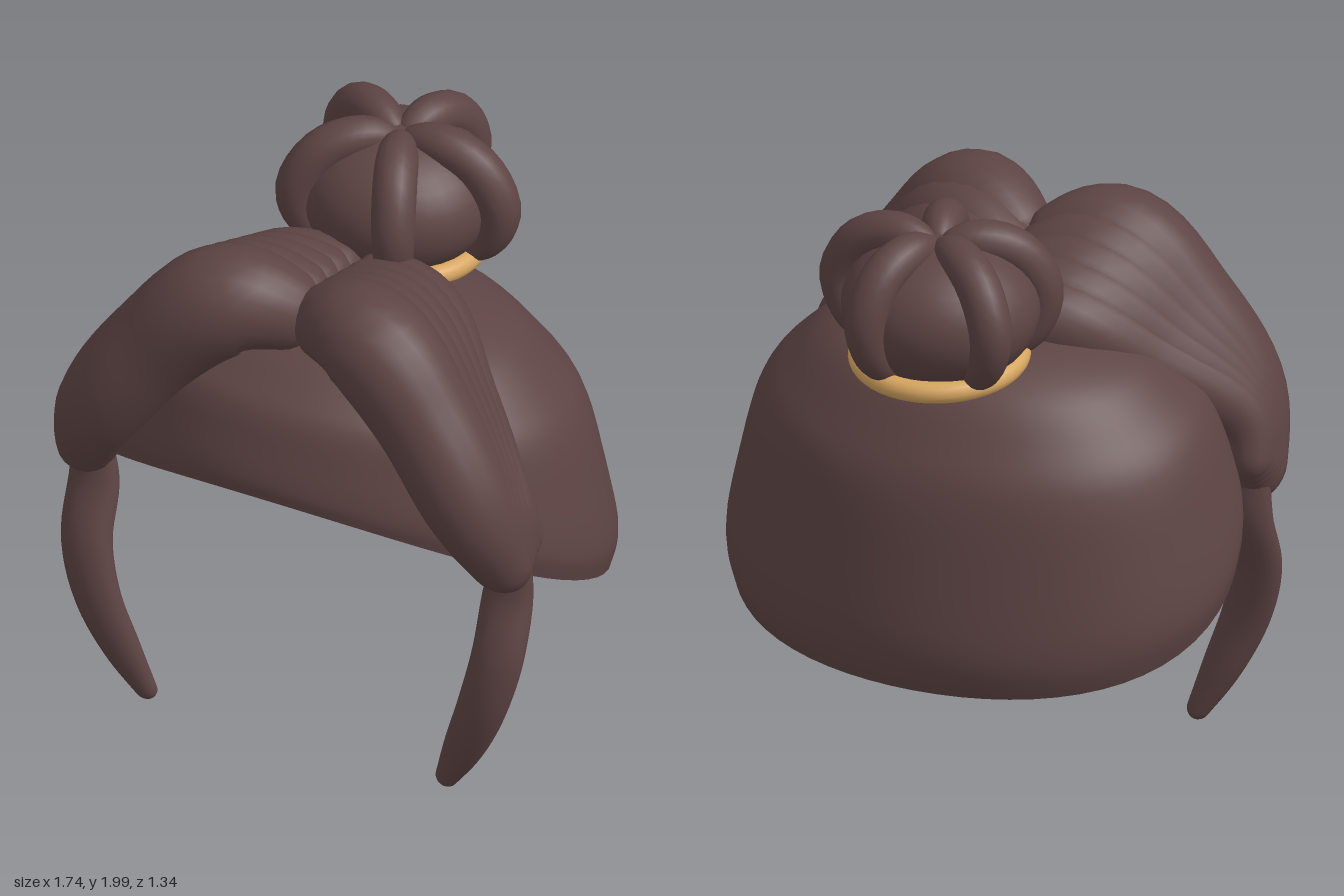
import * as THREE from 'three';

const V = (x, y, z) => new THREE.Vector3(x, y, z);

// Smooth surface from rows of points, each row a closed loop
function loft(rows, cols, point) {
  const pos = [], idx = [];
  for (let i = 0; i <= rows; i++)
    for (let j = 0; j < cols; j++) {
      const p = point(i / rows, (j / cols) * Math.PI * 2);
      pos.push(p.x, p.y, p.z);
    }
  for (let i = 0; i < rows; i++)
    for (let j = 0; j < cols; j++) {
      const k = (j + 1) % cols;
      const a = i * cols + j, b = i * cols + k, c = a + cols, d = b + cols;
      idx.push(a, b, c, b, d, c);
    }
  const g = new THREE.BufferGeometry();
  g.setAttribute('position', new THREE.Float32BufferAttribute(pos, 3));
  g.setIndex(idx);
  g.computeVertexNormals();
  return g;
}

// Lock of hair: points are [x, y, z, width radius, depth radius], with rounded ends
function lock(points, ref, rows = 40, cols = 20, round = 0.07) {
  const curve = (list) => new THREE.CatmullRomCurve3(list, false, 'catmullrom', 0.5);
  const path = curve(points.map((p) => V(p[0], p[1], p[2])));
  const size = curve(points.map((p) => V(p[3], p[4] ?? p[3], 0)));
  return loft(rows, cols, (s, a) => {
    const t = (1 - Math.cos(s * Math.PI)) / 2; // denser rows at the ends
    const d = Math.min(t, 1 - t);
    const k = d < round ? Math.sqrt(Math.max(0, 1 - (1 - d / round) ** 2)) : 1;
    const tangent = path.getTangent(t);
    const side = ref.clone().cross(tangent).normalize();
    const up = tangent.clone().cross(side);
    const r = size.getPoint(t);
    return path.getPoint(t)
      .addScaledVector(side, Math.cos(a) * r.x * k)
      .addScaledVector(up, Math.sin(a) * r.y * k);
  });
}

export function createModel() {
  const model = new THREE.Group();
  model.name = 'hair';
  const brown = new THREE.MeshStandardMaterial({ name: 'dark brown hair', color: 0x5e4444, side: THREE.DoubleSide });
  const gold = new THREE.MeshStandardMaterial({ name: 'gold band', color: 0xd6a560 });
  const add = (name, geometry, material, parent = model) => {
    const mesh = new THREE.Mesh(geometry, material);
    mesh.name = name;
    parent.add(mesh);
    return mesh;
  };

  // Open cap: profile is (radius, height fraction); the rim rises from nape to
  // forehead and tucks in at the nape
  const profile = new THREE.CatmullRomCurve3([
    V(1, 0, 0), V(1, 0.12, 0), V(0.95, 0.37, 0), V(0.865, 0.65, 0),
    V(0.755, 0.78, 0), V(0.6, 0.91, 0), V(0.32, 0.995, 0), V(0, 1, 0),
  ]);
  add('cap', loft(40, 64, (t, a) => {
    const p = profile.getPoint(t), s = -Math.sin(a);
    const rim = 0.65 + 0.315 * s + 0.135 * s * s - 0.012 * Math.cos(a);
    const tuck = 0.025 * (1 - s) * Math.max(0, 1 - p.y / 0.2) ** 2;
    const r = p.x - tuck;
    return V(0.876 * r * Math.cos(a), rim + p.y * (1.53 - rim), 0.66 * r * s);
  }), brown);

  // Swept fringe of overlapping locks, and one loose lock, on each side
  const depth = V(0, 0, 1);
  for (const [label, m] of [['left', 1], ['right', -1]]) {
    const fringe = new THREE.Group();
    fringe.name = label + 'Fringe';
    model.add(fringe);
    const count = 5;
    for (let i = 0; i < count; i++) {
      const u = i / (count - 1);
      const mix = (a, b) => a + (b - a) * u;
      add('fringeLock' + (i + 1), lock([
        [m * -0.015, mix(1.6, 1.54), mix(0.31, -0.03), mix(0.11, 0.1)],
        [m * 0.25, mix(1.665, 1.535), mix(0.42, 0.07), mix(0.182, 0.145)],
        [m * 0.475, mix(1.46, 1.37), mix(0.475, 0.235), mix(0.168, 0.13)],
        [m * mix(0.66, 0.71), mix(1.18, 1.17), mix(0.51, 0.4), mix(0.148, 0.1)],
        [m * mix(0.775, 0.79), mix(0.86, 0.96), mix(0.425, 0.36), mix(0.08, 0.06)],
      ], depth), brown, fringe);
    }
    add(label + 'LooseLock', lock([
      [m * 0.755, 1.0, 0.41, 0.06, 0.04],
      [m * 0.738, 0.8, 0.412, 0.086, 0.056],
      [m * 0.733, 0.6, 0.477, 0.088, 0.06],
      [m * 0.687, 0.4, 0.497, 0.083, 0.056],
      [m * 0.61, 0.2, 0.475, 0.067, 0.048],
      [m * 0.52, 0.005, 0.44, 0.032, 0.025],
    ], depth, 40, 20, 0.03), brown);
  }

  // Bun: a squashed ball wrapped by five locks, tied with a band
  const bun = new THREE.Group();
  bun.name = 'bun';
  bun.position.set(0, 0, -0.31);
  model.add(bun);
  const ball = add('bunCore', new THREE.SphereGeometry(0.325, 32, 20), brown, bun);
  ball.scale.set(1, 0.75, 0.94);
  ball.position.set(-0.01, 1.7, 0);
  const arc = [
    [0, 1.9, 0.035], [0.13, 1.925, 0.066], [0.27, 1.875, 0.072],
    [0.35, 1.74, 0.07], [0.31, 1.6, 0.06], [0.2, 1.51, 0.035],
  ];
  for (let i = 0; i < 5; i++) {
    const a = (i / 5) * Math.PI * 2 + 0.02, c = Math.cos(a), s = -Math.sin(a);
    add('bunLock' + (i + 1), lock(arc.map(([r, y, w]) => [r * c, y, r * s * 0.88, w]), V(-s, 0, c), 32, 16), brown, bun);
  }
  const band = new THREE.TorusGeometry(0.258, 0.036, 16, 48).rotateX(Math.PI / 2 - 0.06);
  add('hairBand', band, gold, bun).position.set(0, 1.522, 0.01);

  return model;
}
